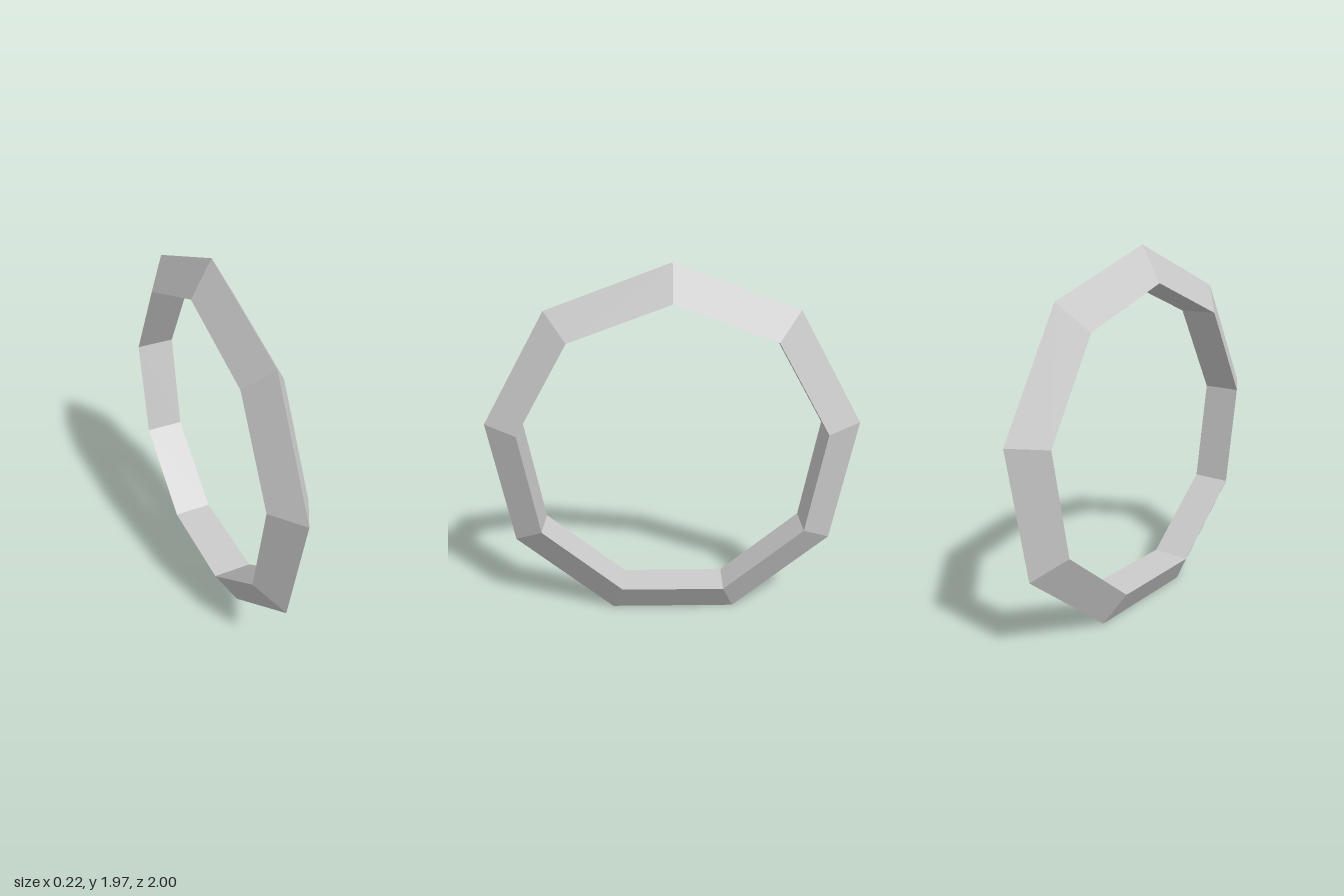
import * as THREE from 'three';

const SIDES = 9;
const TUBE = 0.125;
const OUTER = 1 / Math.cos(Math.PI / 18); // corner radius giving a width of 2

export function createModel() {
  const group = new THREE.Group();
  group.name = 'ringModel';

  // Nine-sided ring with a triangular section: sharp edge outside, flat band inside
  const geometry = new THREE.TorusGeometry(OUTER - TUBE, TUBE, 3, SIDES);
  geometry.rotateZ(Math.PI / 2); // one corner at the top, a flat side at the bottom
  geometry.rotateY(Math.PI / 2); // the hole runs along x
  geometry.translate(0, OUTER * Math.cos(Math.PI / SIDES), 0);

  const ring = new THREE.Mesh(
    geometry,
    new THREE.MeshStandardMaterial({ color: 0xcccccc, flatShading: true })
  );
  ring.name = 'ring';
  group.add(ring);
  return group;
}
